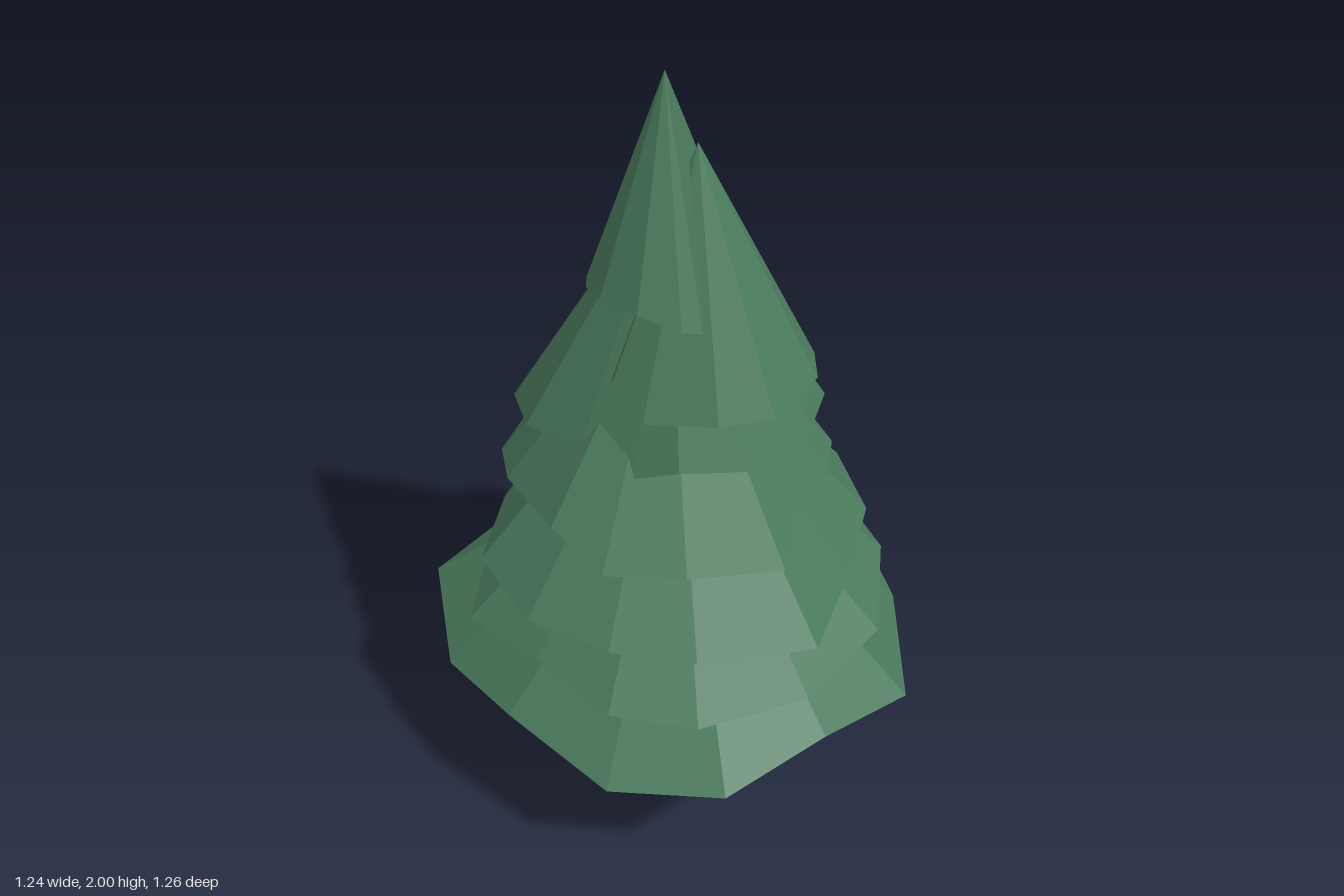
import * as THREE from 'three';

// One faceted skirt of foliage: a cone from a tip down to an uneven rim, closed underneath.
// Rim corners are [x, y, z], running clockwise as seen from above.
function skirt(tip, rim, hollow, material) {
  const centre = [tip[0], rim.reduce((s, p) => s + p[1], 0) / rim.length + hollow, tip[2]];
  const pos = [];
  rim.forEach((a, i) => {
    const b = rim[(i + 1) % rim.length];
    pos.push(...tip, ...b, ...a, ...centre, ...a, ...b);
  });
  const geo = new THREE.BufferGeometry();
  geo.setAttribute('position', new THREE.Float32BufferAttribute(pos, 3));
  geo.computeVertexNormals();
  return new THREE.Mesh(geo, material);
}

export function createModel() {
  const tree = new THREE.Group();
  tree.name = 'pineTree';
  const green = new THREE.MeshStandardMaterial({ color: 0x4a7a5c, flatShading: true });
  const brown = new THREE.MeshStandardMaterial({ color: 0x6b4a32, flatShading: true });

  // Trunk
  const trunk = new THREE.Mesh(new THREE.CylinderGeometry(0.045, 0.06, 0.5, 9), brown);
  trunk.name = 'trunk';
  trunk.position.set(-0.06, 0.25, 0.01);
  tree.add(trunk);

  const addTier = (name, tip, hollow, rim) => {
    const mesh = skirt(tip, rim, hollow, green);
    mesh.name = name;
    tree.add(mesh);
  };

  // Foliage, from the widest skirt upward
  addTier('bottomSkirt', [-0.05, 1.0, 0], 0.01, [
    [-0.36, 0.43, -0.615], [-0.05, 0.42, -0.635], [0.24, 0.44, -0.615], [0.62, 0.42, -0.08],
    [0.52, 0.385, 0.22], [0.4, 0.375, 0.39], [0.1, 0.385, 0.63], [-0.18, 0.43, 0.575],
    [-0.47, 0.4, 0.49], [-0.62, 0.375, 0.24], [-0.62, 0.42, -0.085], [-0.56, 0.38, -0.365],
  ]);
  addTier('secondSkirt', [-0.06, 1.16, 0], 0.03, [
    [-0.53, 0.56, -0.3], [-0.32, 0.61, -0.43], [-0.05, 0.62, -0.555], [0.22, 0.62, -0.49],
    [0.4, 0.58, -0.3], [0.56, 0.545, -0.08], [0.42, 0.59, 0.22], [0.31, 0.62, 0.39],
    [0.08, 0.58, 0.54], [-0.2, 0.55, 0.53], [-0.44, 0.54, 0.38], [-0.55, 0.55, 0.19],
    [-0.54, 0.58, -0.05],
  ]);
  addTier('thirdSkirt', [-0.07, 1.35, 0], 0.03, [
    [-0.5, 0.76, -0.27], [-0.3, 0.78, -0.38], [-0.07, 0.8, -0.44], [0.17, 0.79, -0.43],
    [0.36, 0.72, -0.26], [0.42, 0.78, -0.02], [0.39, 0.78, 0.18], [0.27, 0.76, 0.36],
    [0.05, 0.74, 0.46], [-0.18, 0.71, 0.535], [-0.42, 0.73, 0.36], [-0.53, 0.74, 0.18],
    [-0.575, 0.745, -0.04],
  ]);
  addTier('fourthSkirt', [-0.07, 1.5, -0.01], 0.03, [
    [-0.38, 0.94, -0.28], [-0.28, 0.91, -0.4], [-0.1, 0.89, -0.48], [0.17, 0.9, -0.44],
    [0.3, 0.94, -0.22], [0.35, 0.98, -0.07], [0.31, 0.97, 0.1], [0.24, 0.95, 0.26],
    [0.13, 0.94, 0.33], [-0.04, 0.95, 0.36], [-0.18, 0.9, 0.43], [-0.36, 0.91, 0.28],
    [-0.475, 0.91, 0.12], [-0.475, 0.97, -0.04],
  ]);
  addTier('fifthSkirt', [-0.07, 1.75, -0.01], 0.02, [
    [-0.34, 1.1, -0.24], [-0.25, 1.08, -0.37], [-0.04, 1.07, -0.415], [0.13, 1.08, -0.365],
    [0.29, 1.09, -0.22], [0.325, 1.08, -0.08], [0.29, 1.09, 0.12], [0.21, 1.11, 0.25],
    [0.06, 1.13, 0.32], [-0.18, 1.14, 0.32], [-0.29, 1.14, 0.2], [-0.33, 1.1, 0.1],
    [-0.345, 1.11, -0.06],
  ]);
  addTier('sixthSkirt', [-0.035, 1.83, 0.045], 0.02, [
    [-0.2, 1.3, -0.08], [-0.04, 1.31, -0.12], [0.13, 1.31, -0.1], [0.2, 1.3, -0.01],
    [0.21, 1.28, 0.13], [0.17, 1.25, 0.24], [0.08, 1.26, 0.315], [-0.1, 1.25, 0.325],
    [-0.21, 1.25, 0.25], [-0.3, 1.24, 0.1], [-0.28, 1.29, -0.01],
  ]);
  addTier('topCone', [-0.08, 2.0, -0.01], 0.03, [
    [-0.235, 1.49, -0.12], [-0.18, 1.47, -0.17], [-0.08, 1.45, -0.19], [0.0, 1.44, -0.175],
    [0.075, 1.46, -0.13], [0.13, 1.48, -0.07], [0.12, 1.48, 0.045], [-0.03, 1.66, 0.06],
    [-0.09, 1.6, 0.1], [-0.17, 1.45, 0.17], [-0.22, 1.47, 0.15], [-0.265, 1.5, 0.06],
    [-0.265, 1.5, -0.05],
  ]);

  return tree;
}
